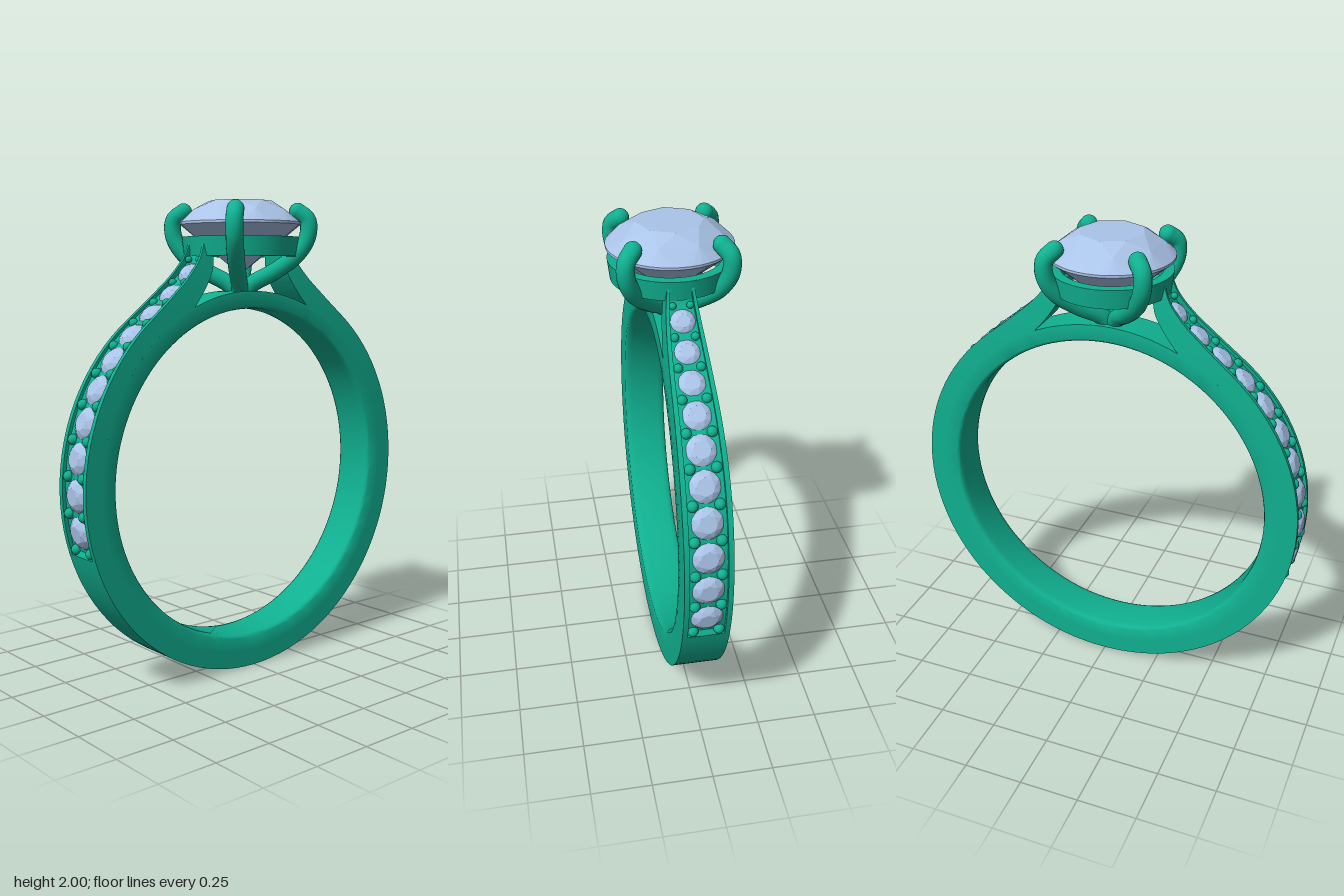
import * as THREE from 'three';
import { toCreasedNormals } from 'three/addons/utils/BufferGeometryUtils.js';
import { ConvexGeometry } from 'three/addons/geometries/ConvexGeometry.js';

const metal = new THREE.MeshStandardMaterial({ color: 0x10b090 });
const gem = new THREE.MeshStandardMaterial({ color: 0xaac4e8 });
const CY = 0.85, R = 0.848, STEPS = 41, CHANNEL_START = 21;

// Half the band's width, narrowing towards the head
const halfWidth = y => 0.095 * (1 - 0.5 * Math.max(0, (y - 1) / 0.85) ** 3);
const channelHalf = y => halfWidth(y) * 0.78;
const polar = (r, deg) => {
  const a = THREE.MathUtils.degToRad(deg);
  return new THREE.Vector3(r * Math.cos(a), CY + r * Math.sin(a), 0);
};
const spline = pts => new THREE.CatmullRomCurve3(pts.map(([x, y]) => new THREE.Vector3(x, y, 0)));

function add(parent, name, geometry, material) {
  const mesh = new THREE.Mesh(geometry, material);
  mesh.name = name;
  parent.add(mesh);
  return mesh;
}

// Right half of the shank: outer and inner edge, from the bottom to the shoulder tip
function shankEdges() {
  const outer = [], inner = [];
  for (let i = 0; i <= STEPS; i++) {
    outer.push(polar(R, -90 + 142 * i / STEPS));
    inner.push(polar(0.77, -90 + 155.5 * i / STEPS));
  }
  const top = spline([[0.522, 1.518], [0.41, 1.61], [0.32, 1.69], [0.26, 1.765], [0.235, 1.83]]);
  const gap = spline([[0.319, 1.551], [0.25, 1.635], [0.205, 1.71], [0.19, 1.785]]);
  outer.push(...top.getSpacedPoints(16).slice(1));
  inner.push(...gap.getSpacedPoints(16).slice(1));
  return { outer, inner };
}

// Shank swept from tip to tip, with a stone channel cut in each side
function shankGeometry({ outer, inner }) {
  const half = [];
  outer.forEach((o, i) => {
    if (i === CHANNEL_START) half.push([o, inner[i], 0]);
    half.push([o, inner[i], i >= CHANNEL_START ? 0.025 : 0]);
  });
  const mirror = v => new THREE.Vector3(-v.x, v.y, 0);
  const left = half.slice(1).reverse().map(([o, n, d]) => [mirror(o), mirror(n), d]);
  const sections = [...left, ...half].map(([o, n, d]) => {
    const floor = o.clone().addScaledVector(n.clone().sub(o).normalize(), d);
    const wi = halfWidth(n.y), wo = halfWidth(o.y), c = channelHalf(o.y);
    return [[n, -wi], [n, wi], [o, wo], [o, c], [floor, c], [floor, -c], [o, -c], [o, -wo]]
      .map(([p, z]) => [p.x, p.y, z]);
  });
  const pos = [];
  const tri = (a, b, c) => pos.push(...a, ...b, ...c);
  for (let s = 0; s < sections.length - 1; s++) {
    const a = sections[s], b = sections[s + 1];
    for (let j = 0; j < 8; j++) {
      const k = (j + 1) % 8;
      tri(a[j], a[k], b[k]);
      tri(a[j], b[k], b[j]);
    }
  }
  const first = sections[0], last = sections[sections.length - 1];
  for (const [a, b, c] of [[0, 1, 4], [0, 4, 5], [1, 2, 3], [1, 3, 4], [0, 5, 6], [0, 6, 7]]) {
    tri(last[a], last[b], last[c]);
    tri(first[a], first[c], first[b]);
  }
  const g = new THREE.BufferGeometry();
  g.setAttribute('position', new THREE.Float32BufferAttribute(pos, 3));
  return toCreasedNormals(g, 0.5);
}

// Inner hoop with a rounded bore; its top forms the bridge under the head
function hoopGeometry() {
  const profile = [[0.777, -0.095], [0.777, 0.095], [0.718, 0.095], [0.711, 0.091], [0.706, 0.082], [0.703, 0.065],
    [0.703, -0.065], [0.706, -0.082], [0.711, -0.091], [0.718, -0.095], [0.777, -0.095]];
  const g = new THREE.LatheGeometry(profile.map(p => new THREE.Vector2(...p)), 128);
  g.rotateX(Math.PI / 2).translate(0, CY, 0);
  const p = g.attributes.position;
  for (let i = 0; i < p.count; i++) p.setZ(i, p.getZ(i) * halfWidth(p.getY(i)) / 0.095);
  return toCreasedNormals(g, 0.6);
}

// Faceted round stone of radius 1 with its girdle at y = 0
function stoneGeometry(crown, depth, sides) {
  const pts = [new THREE.Vector3(0, -depth, 0)];
  const ring = (n, r, y, turn) => {
    for (let i = 0; i < n; i++) {
      const a = (i + turn) / n * Math.PI * 2;
      pts.push(new THREE.Vector3(r * Math.cos(a), y, r * Math.sin(a)));
    }
  };
  ring(8, 0.53, crown, 0);
  ring(8, 0.8, crown * 0.58, 0.5);
  ring(sides, 1, 0, 0);
  ring(sides, 1, -0.04, 0);
  ring(8, 0.55, -depth * 0.5, 0.5);
  return new ConvexGeometry(pts);
}

// Row of stones with pairs of beads between them, along one shoulder
function paveRow(curve, side) {
  const row = new THREE.Group();
  row.name = side > 0 ? 'leftStoneRow' : 'rightStoneRow';
  const stone = stoneGeometry(0.36, 0.3, 16), bead = new THREE.SphereGeometry(1, 14, 10);
  const place = (t, sink) => {
    const u = 0.015 + 0.935 * (1.15 * t - 0.15 * t * t);
    const p = curve.getPointAt(u), tan = curve.getTangentAt(u);
    const normal = new THREE.Vector3(side * tan.y, -tan.x, 0).normalize();
    p.x *= side;
    return { p: p.addScaledVector(normal, -sink), normal, c: channelHalf(p.y) };
  };
  for (let i = 0; i <= 10; i++) {
    if (i < 10) {
      const { p, normal, c } = place((i + 0.5) / 10, 0.02);
      const m = add(row, 'smallStone', stone, gem);
      m.position.copy(p);
      m.quaternion.setFromUnitVectors(new THREE.Vector3(0, 1, 0), normal);
      m.scale.setScalar(c * 0.92);
    }
    const { p, c } = place(i / 10, 0.014);
    for (const z of [-1, 1]) {
      const b = add(row, 'bead', bead, metal);
      b.position.set(p.x, p.y, z * c * 0.7);
      b.scale.setScalar(c * 0.3);
    }
  }
  return row;
}

// Head: collar, four claws and the main stone
function head() {
  const g = new THREE.Group();
  g.name = 'head';
  const collar = [[0.2, 1.77], [0.237, 1.77], [0.247, 1.85], [0.205, 1.85], [0.2, 1.77]];
  add(g, 'collar', toCreasedNormals(
    new THREE.LatheGeometry(collar.map(p => new THREE.Vector2(...p)), 64), 0.6), metal);

  const path = spline([[0.01, 1.61], [0.05, 1.655], [0.14, 1.705], [0.235, 1.775],
    [0.282, 1.85], [0.282, 1.92], [0.24, 1.955]]);
  const tube = new THREE.TubeGeometry(path, 40, 0.036, 16);
  const cap = new THREE.SphereGeometry(0.036, 16, 12);
  for (let i = 0; i < 4; i++) {
    const claw = new THREE.Group();
    claw.name = 'claw';
    claw.rotation.y = Math.PI / 4 + i * Math.PI / 2;
    add(claw, 'clawArm', tube, metal);
    add(claw, 'clawTip', cap, metal).position.copy(path.getPoint(1));
    g.add(claw);
  }

  const stone = add(g, 'mainStone', stoneGeometry(0.35, 0.86, 40), gem);
  stone.scale.setScalar(0.253);
  stone.position.y = 1.911;
  return g;
}

export function createModel() {
  const model = new THREE.Group();
  model.name = 'ring';
  const edges = shankEdges();
  add(model, 'shank', shankGeometry(edges), metal);
  add(model, 'innerHoop', hoopGeometry(), metal);
  const channel = new THREE.CatmullRomCurve3(edges.outer.slice(CHANNEL_START));
  for (const side of [1, -1]) model.add(paveRow(channel, side));
  model.add(head());
  return model;
}
